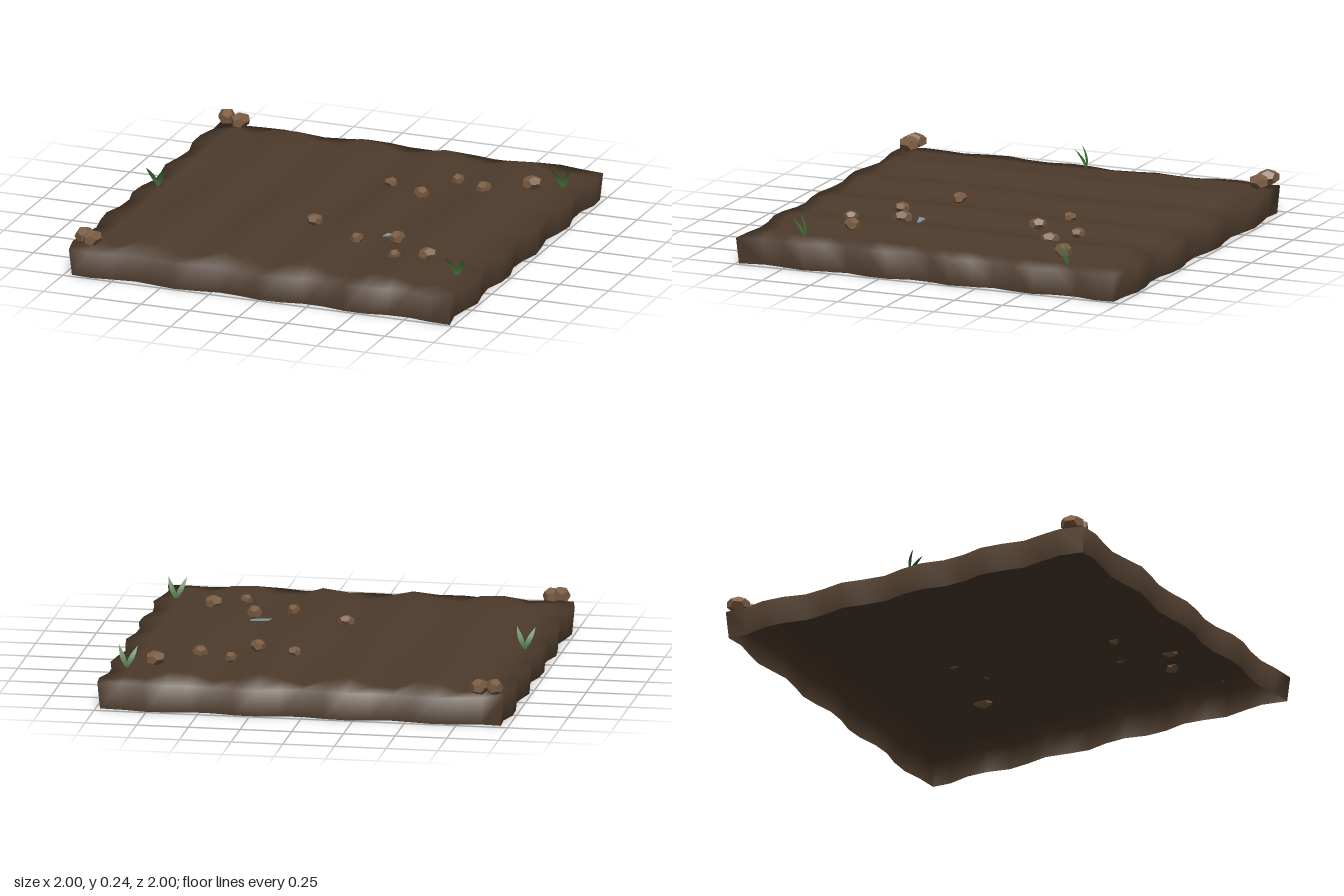
import * as THREE from 'three';

const soilMat = new THREE.MeshStandardMaterial({ color: 0x4d3b2c, side: THREE.DoubleSide });
const stoneMat = new THREE.MeshStandardMaterial({ color: 0x7a5c43, flatShading: true });
const grassMat = new THREE.MeshStandardMaterial({ color: 0x41733a, side: THREE.DoubleSide });
const shardMat = new THREE.MeshStandardMaterial({ color: 0x7d9a9c, side: THREE.DoubleSide, flatShading: true });

let seed = 7;
const rand = () => (seed = (seed * 16807) % 2147483647) / 2147483647;

// Ploughed ridges running along z
const soilHeight = (x, z) =>
  0.154 + 0.024 * Math.cos(((x - 0.2) / 0.4) * 2 * Math.PI + 0.25 * Math.sin(3 * z))
  + 0.003 * Math.sin(5 * z + 2 * x);

// Open-bottomed soil slab: the outermost ring of a grid is folded down as the walls
function makeSoil() {
  const n = 18, s = n + 2;
  const geo = new THREE.PlaneGeometry(2, 2, s, s).rotateX(-Math.PI / 2);
  const pos = geo.attributes.position;
  const clamp = (i) => Math.min(Math.max(i, 1), s - 1);
  for (let k = 0; k < pos.count; k++) {
    const i = k % (s + 1), j = Math.floor(k / (s + 1));
    const ci = clamp(i), cj = clamp(j);
    const gx = ((ci - 1) / n) * 2 - 1, gz = ((cj - 1) / n) * 2 - 1;
    const edgeX = ci === 1 || ci === s - 1, edgeZ = cj === 1 || cj === s - 1;
    let x = gx * 0.982, z = gz * 0.982;
    // Wavy outline
    if (edgeX) x += 0.018 * Math.cos(((gz + 0.13) / 0.4) * 2 * Math.PI);
    if (edgeZ) z -= 0.016 * Math.cos(((gx + 0.2) / 0.47) * 2 * Math.PI);
    let y = edgeX || edgeZ ? 0.131 + 0.004 * Math.sin(7 * gx + 4 * gz) : soilHeight(x, z);
    if (i !== ci || j !== cj) {
      y = 0;
      x *= 0.988;
      z *= 0.99;
    }
    pos.setXYZ(k, x, y, z);
  }
  geo.computeVertexNormals();
  const soil = new THREE.Mesh(geo, soilMat);
  soil.name = 'soil';
  return soil;
}

// Faceted stone, squashed and turned
function makeStone([x, z, r, turn, y = 0.172]) {
  const geo = new THREE.DodecahedronGeometry(1, 0);
  const stone = new THREE.Mesh(geo, stoneMat);
  stone.name = 'stone';
  stone.position.set(x, y, z);
  stone.scale.set(r * (0.78 + 0.1 * rand()), r * 0.72, r * 1.08);
  stone.rotation.set(0.15 * (rand() - 0.5), turn, 0.2 * (rand() - 0.5));
  return stone;
}

// Leaf blade from paired cross-section points, bending towards +z
function makeBlade(lean, height) {
  const steps = 5, verts = [], index = [];
  for (let i = 0; i <= steps; i++) {
    const t = i / steps;
    const w = 0.013 * Math.sin(Math.PI * (0.12 + 0.88 * t));
    const x = lean * t, y = height * t, z = 0.042 * t * t;
    verts.push(x - w, y, z, x + w, y + w * lean * -4, z);
    if (i < steps) {
      const a = i * 2;
      index.push(a, a + 1, a + 2, a + 1, a + 3, a + 2);
    }
  }
  const geo = new THREE.BufferGeometry();
  geo.setAttribute('position', new THREE.Float32BufferAttribute(verts, 3));
  geo.setIndex(index);
  geo.computeVertexNormals();
  const blade = new THREE.Mesh(geo, grassMat);
  blade.name = 'grassBlade';
  return blade;
}

function makeGrass(x, z) {
  const tuft = new THREE.Group();
  tuft.name = 'grassTuft';
  for (const side of [-1, 1]) tuft.add(makeBlade(0.045 * side, 0.1));
  tuft.position.set(x, 0.138, z);
  return tuft;
}

export function createModel() {
  const model = new THREE.Group();
  model.name = 'soilPatch';
  model.add(makeSoil());

  // Stones: x, z, radius, turn, height
  const stones = [
    [-0.925, -0.935, 0.055, 0.4, 0.182], [-0.85, -0.92, 0.054, -0.3, 0.176],
    [-0.93, 0.9, 0.056, 0.2, 0.182], [-0.885, 0.91, 0.054, -0.3, 0.176],
    [0.14, -0.37, 0.034, 1.2], [0.42, -0.53, 0.036, 0.1], [0.58, -0.455, 0.046, 0.2],
    [0.77, -0.61, 0.05, -0.8], [0.33, -0.285, 0.042, 0.6], [0, 0.265, 0.04, 1.5],
    [0.46, 0.36, 0.046, 0.1], [0.285, 0.44, 0.038, 0], [0.685, 0.525, 0.046, -0.8],
    [0.54, 0.595, 0.036, 0.4],
  ];
  for (const s of stones) model.add(makeStone(s));

  // Grass tufts near the borders
  for (const [x, z] of [[0.895, -0.685], [0.895, 0.68], [-0.91, 0]]) model.add(makeGrass(x, z));

  // Thin pointed shard lying on the soil
  const outline = new THREE.Shape([[-0.05, -0.025], [0.045, 0.005], [0.045, 0.018], [-0.042, 0.012]]
    .map(([x, y]) => new THREE.Vector2(x, y)));
  const shard = new THREE.Mesh(
    new THREE.ExtrudeGeometry(outline, { depth: 0.006, bevelEnabled: false }).rotateX(-Math.PI / 2), shardMat);
  shard.name = 'shard';
  shard.position.set(0.42, 0.15, 0.29);
  model.add(shard);
  return model;
}
